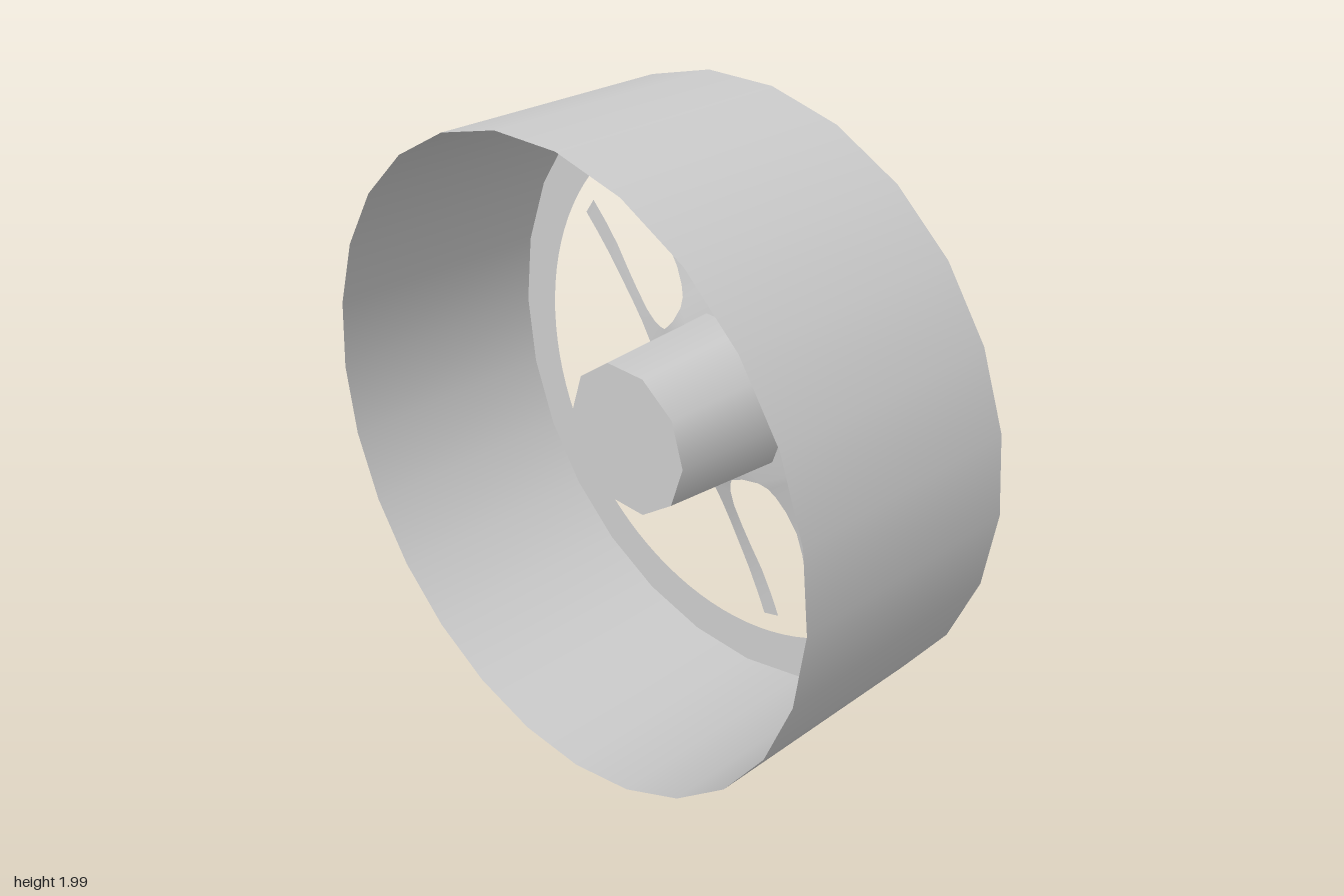
import * as THREE from 'three';

const SIDES = 26;
const material = new THREE.MeshStandardMaterial({ color: 0xcccccc, side: THREE.DoubleSide });

function addMesh(group, name, geometry) {
  const mesh = new THREE.Mesh(geometry, material);
  mesh.name = name;
  group.add(mesh);
  return mesh;
}

// Open tube along x, from the back radius to the front radius
function tube(backX, frontX, backR, frontR, sides) {
  return new THREE.CylinderGeometry(frontR, backR, frontX - backX, sides, 1, true)
    .rotateZ(-Math.PI / 2)
    .translate((backX + frontX) / 2, 0, 0);
}

// Flat annulus: polygonal outside, round inside
function rimFace() {
  const outer = [];
  for (let i = 0; i < SIDES; i++) {
    const a = (i / SIDES) * Math.PI * 2;
    outer.push(new THREE.Vector2(Math.cos(a), Math.sin(a)));
  }
  const shape = new THREE.Shape(outer);
  shape.holes.push(new THREE.Path().absarc(0, 0, 0.85, 0, Math.PI * 2, true));
  return new THREE.ShapeGeometry(shape, 48).rotateY(Math.PI / 2).translate(0.35, 0, 0);
}

// Dish profile: radius -> x
const DISH = [[0, 0.265], [0.29, 0.325], [0.33, 0.345], [0.42, 0.37], [0.5, 0.392], [0.65, 0.418], [0.75, 0.426], [0.86, 0.43]];
function dishX(r) {
  for (let i = 1; i < DISH.length; i++) {
    const [r0, x0] = DISH[i - 1], [r1, x1] = DISH[i];
    if (r <= r1) return x0 + ((x1 - x0) * (r - r0)) / (r1 - r0);
  }
  return 0.43;
}

// One spoke as rows of [inner edge, outer edge]; u runs outwards, v sideways
const ROWS = [
  [[0.3, 0.06], [0.267, 0.194]],
  [[0.322, 0.085], [0.29, 0.19]],
  [[0.355, 0.103], [0.33, 0.182]],
  [[0.41, 0.118], [0.4, 0.177]],
  [[0.49, 0.124], [0.49, 0.177]],
  [[0.57, 0.116], [0.57, 0.173]],
  [[0.66, 0.102], [0.66, 0.165]],
  [[0.75, 0.09], [0.75, 0.155]],
  [[0.835, 0.08], [0.835, 0.145]],
];

// Dished hub with five pairs of spokes, as one thin sheet
function spider() {
  const positions = [], index = [], ids = new Map();
  const vertex = ([u, v], angle, side) => {
    const c = Math.cos(angle), s = Math.sin(angle), w = v * side;
    const p = [dishX(Math.hypot(u, v)), u * s + w * c, u * c - w * s];
    const key = p.map((n) => Math.round(n * 500)).join();
    if (!ids.has(key)) {
      ids.set(key, positions.length / 3);
      positions.push(...p);
    }
    return ids.get(key);
  };
  for (let k = 0; k < 5; k++) {
    const angle = (k * Math.PI * 2) / 5;
    for (const side of [1, -1]) {
      const at = (p) => vertex(p, angle, side);
      // Keep every face turned towards +x
      const tri = (a, b, c) => (side > 0 ? index.push(a, c, b) : index.push(a, b, c));
      const [inner, outer] = ROWS[0].map(at);
      const centre = at([0, 0]);
      tri(centre, at([0.29, 0]), inner);
      tri(centre, inner, outer);
      for (let i = 1; i < ROWS.length; i++) {
        const [a, b] = ROWS[i - 1].map(at), [c, d] = ROWS[i].map(at);
        tri(a, c, d);
        tri(a, d, b);
      }
    }
  }
  const geometry = new THREE.BufferGeometry();
  geometry.setAttribute('position', new THREE.Float32BufferAttribute(positions, 3));
  geometry.setIndex(index);
  geometry.computeVertexNormals();
  return geometry;
}

export function createModel() {
  const group = new THREE.Group();
  group.name = 'wheel';
  const wheel = new THREE.Group();
  wheel.name = 'wheelParts';
  wheel.position.y = 1;
  group.add(wheel);

  addMesh(wheel, 'barrel', tube(-0.43, 0.35, 0.987, 1, SIDES));
  addMesh(wheel, 'rimFace', rimFace());
  addMesh(wheel, 'hubAndSpokes', spider());

  // Hub sleeve behind the dish, closed at the back
  addMesh(wheel, 'hubSleeve', tube(-0.1, 0.32, 0.24, 0.265, 10));
  addMesh(wheel, 'hubCap', new THREE.CircleGeometry(0.24, 10).rotateY(-Math.PI / 2).translate(-0.1, 0, 0));
  return group;
}
